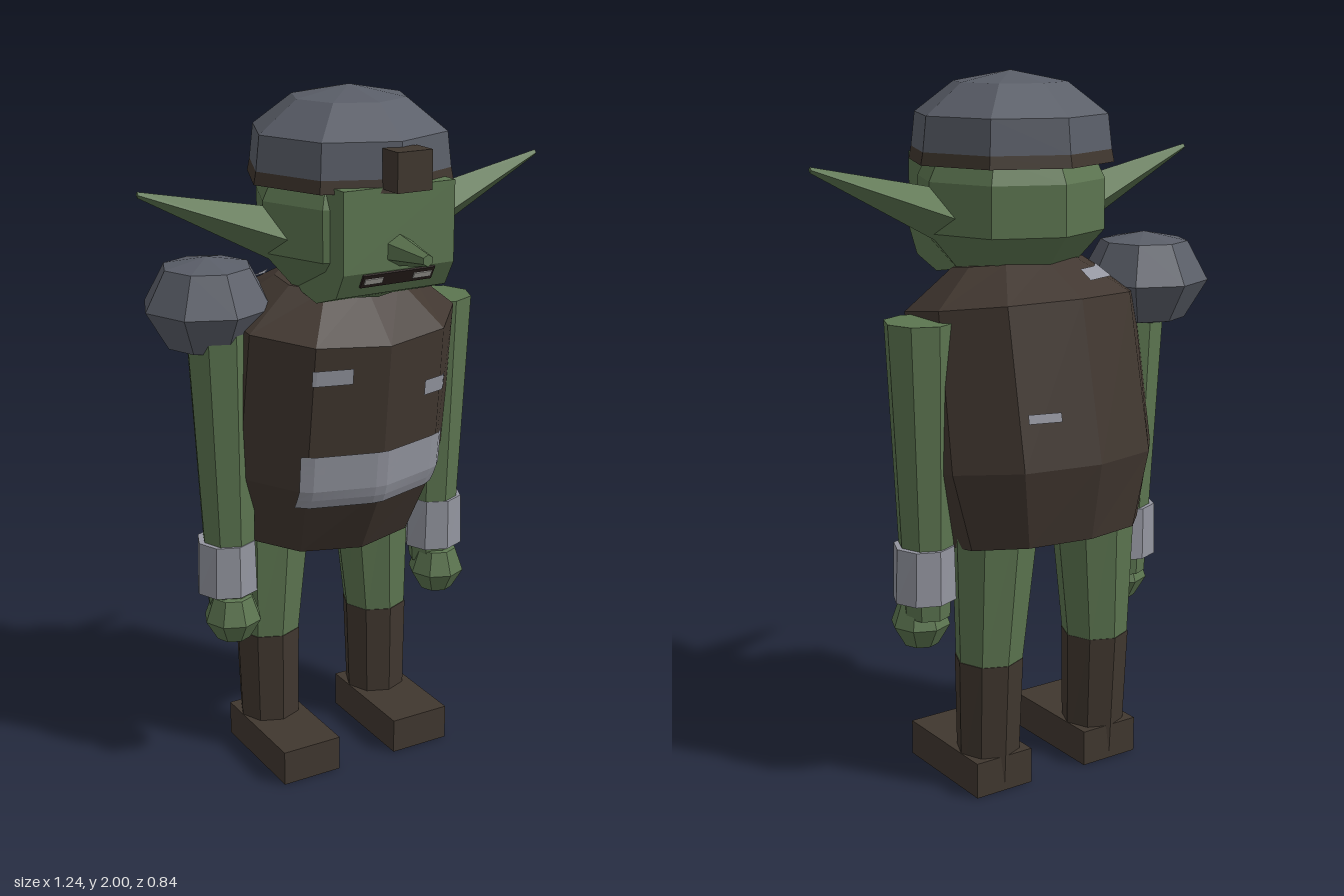
import * as THREE from 'three';

const mat = (name, color) => {
  const m = new THREE.MeshStandardMaterial({ color });
  m.name = name;
  return m;
};

// Facet any geometry
const flat = (geo) => {
  const g = geo.index ? geo.toNonIndexed() : geo;
  g.computeVertexNormals();
  return g;
};

// Capped loft through rings [x, y, z, rx, rz, tilt]; tilt lifts the back and drops the front
function loft(rings, sides) {
  const pos = [];
  const point = ([x, y, z, rx, rz, tilt = 0], i) => {
    const a = (i / sides) * Math.PI * 2;
    return [x + rx * Math.sin(a), y - tilt * Math.cos(a), z + rz * Math.cos(a)];
  };
  for (let i = 0; i < sides; i++) {
    for (let k = 0; k < rings.length - 1; k++) {
      const a = point(rings[k], i), b = point(rings[k], i + 1);
      const c = point(rings[k + 1], i + 1), d = point(rings[k + 1], i);
      pos.push(...a, ...b, ...c, ...a, ...c, ...d);
    }
    const lo = rings[0], hi = rings[rings.length - 1];
    pos.push(...lo.slice(0, 3), ...point(lo, i + 1), ...point(lo, i));
    pos.push(...hi.slice(0, 3), ...point(hi, i), ...point(hi, i + 1));
  }
  const g = new THREE.BufferGeometry();
  g.setAttribute('position', new THREE.Float32BufferAttribute(pos, 3));
  g.computeVertexNormals();
  return g;
}

const lathe = (profile, sides = 8) =>
  flat(new THREE.LatheGeometry(profile.map(([r, y]) => new THREE.Vector2(r, y)), sides));

export function createModel() {
  const group = new THREE.Group();
  const skin = mat('green skin', 0x5c7550);
  const leather = mat('dark leather', 0x40372f);
  const tunic = mat('brown tunic', 0x413730);
  const iron = mat('dark iron', 0x5a5e68);
  const metal = mat('pale metal', 0x9496a0);
  const dark = mat('mouth dark', 0x2b211e);
  const tooth = mat('tooth', 0xb4b2ac);

  const add = (name, geo, material, x = 0, y = 0, z = 0) => {
    const m = new THREE.Mesh(geo, material);
    m.name = name;
    m.position.set(x, y, z);
    group.add(m);
    return m;
  };
  const box = (w, h, d) => new THREE.BoxGeometry(w, h, d);

  // Hunched torso
  const torso = add('torso', loft([
    [0, 0.722, -0.14, 0.3, 0.235, 0.038],
    [0, 0.94, -0.105, 0.355, 0.31, 0.04],
    [0, 1.372, -0.035, 0.345, 0.285, 0.043],
    [0, 1.478, -0.018, 0.2, 0.14, 0.018],
  ], 10), tunic);

  // Plates and patches that hug the torso, projected along z from the front or the back
  const ray = new THREE.Raycaster();
  function patch(name, x0, x1, y0, y1, side) {
    const nx = 16, ny = 6;
    const g = new THREE.PlaneGeometry(x1 - x0, y1 - y0, nx, ny);
    if (side < 0) g.rotateY(Math.PI);
    g.translate((x0 + x1) / 2, (y0 + y1) / 2, 0);
    const p = g.attributes.position;
    for (let i = 0; i < p.count; i++) {
      ray.set(new THREE.Vector3(p.getX(i), p.getY(i), side * 2), new THREE.Vector3(0, 0, -side));
      const hit = ray.intersectObject(torso)[0];
      if (!hit) continue;
      const n = hit.face.normal;
      p.setXYZ(i, hit.point.x + n.x * 0.008, hit.point.y + n.y * 0.008, hit.point.z + n.z * 0.008);
    }
    add(name, flat(g), metal);
  }
  torso.updateMatrixWorld();
  torso.material.side = THREE.FrontSide;
  patch('bellyPlate', -0.22, 0.24, 0.86, 1.02, 1);
  patch('chestPatch', -0.205, -0.1, 1.23, 1.275, 1);
  patch('sidePatch', 0.135, 0.22, 1.155, 1.2, 1);
  patch('shoulderPatch', -0.18, -0.08, 1.44, 1.465, -1);
  patch('backPatch', 0.095, 0.185, 1.1, 1.125, -1);

  // Skull
  add('head', lathe([[0, 1.44], [0.16, 1.45], [0.265, 1.57], [0.265, 1.71], [0.23, 1.78], [0, 1.8]]),
    skin, 0, 0, 0.02);

  // Face block, side profile as (z, y)
  const profile = new THREE.Shape([
    [0, 1.77], [0.285, 1.77], [0.285, 1.55], [0.245, 1.48], [0.14, 1.445], [0, 1.47],
  ].map(([z, y]) => new THREE.Vector2(z, y)));
  const face = new THREE.ExtrudeGeometry(profile, { depth: 0.34, bevelEnabled: false });
  face.translate(0, 0, -0.17).rotateY(-Math.PI / 2);
  add('face', flat(face), skin);

  // Nose
  const nose = loft([[0, 0, 0, 0.045, 0.045], [0, 0.15, 0, 0.016, 0.016]], 6);
  nose.rotateX(Math.PI / 2);
  add('nose', nose, skin, 0, 1.6, 0.272);

  // Mouth on the slanted jaw, with teeth at the corners
  const mouth = new THREE.Group();
  mouth.name = 'mouth';
  mouth.position.set(0, 1.527, 0.274);
  mouth.rotation.x = 0.52;
  const lips = new THREE.Mesh(box(0.22, 0.042, 0.008), dark);
  lips.name = 'lips';
  mouth.add(lips);
  for (const s of [-1, 1]) {
    const t = new THREE.Mesh(box(0.055, 0.018, 0.008), tooth);
    t.name = 'tooth';
    t.position.set(s * 0.075, 0, 0.003);
    mouth.add(t);
  }
  group.add(mouth);

  // Helmet with leather rim and buckle
  add('helmetRim', lathe([[0, 1.755], [0.29, 1.755], [0.283, 1.79], [0, 1.79]]), leather, 0, 0, 0.02);
  add('helmetDome', lathe([[0.283, 1.79], [0.272, 1.885], [0.16, 1.97], [0, 2]]), iron, 0, 0, 0.02);
  add('buckle', box(0.105, 0.105, 0.075), leather, 0, 1.818, 0.318);

  // Single shoulder guard
  add('shoulderGuard', lathe([[0, 1.275], [0.12, 1.3], [0.185, 1.41], [0.125, 1.52], [0, 1.545]]),
    iron, -0.37, 0, -0.115);

  for (const s of [-1, 1]) {
    const side = s > 0 ? 'left' : 'right';

    // Ear, lofted upright then laid outward
    const ear = loft([
      [-s * 1.605, 0.2, 0.02, 0.08, 0.085],
      [-s * 1.762, 0.622, 0.02, 0.008, 0.008],
    ], 4);
    ear.rotateZ(-s * Math.PI / 2);
    add(side + 'Ear', ear, skin);

    // Arm, cuff and fist
    add(side + 'Arm', loft([
      [s * 0.345, 0.52, -0.07, 0.065, 0.07],
      [s * 0.345, 0.73, -0.07, 0.077, 0.08],
      [s * 0.355, 1.355, -0.072, 0.1, 0.102],
    ], 8), skin);
    add(side + 'Cuff', loft([
      [s * 0.352, 0.572, -0.072, 0.092, 0.087],
      [s * 0.352, 0.728, -0.072, 0.086, 0.087],
    ], 8), metal);
    add(side + 'Hand', lathe([[0, 0.415], [0.05, 0.43], [0.085, 0.49], [0.06, 0.56], [0, 0.575]]),
      skin, s * 0.35, 0, -0.045);

    // Leg, boot shaft and foot
    add(side + 'Leg', loft([
      [s * 0.187, 0.37, -0.145, 0.095, 0.097],
      [s * 0.165, 0.85, -0.15, 0.13, 0.125],
    ], 8), skin);
    add(side + 'BootShaft', loft([
      [s * 0.187, 0.02, -0.137, 0.09, 0.088],
      [s * 0.187, 0.385, -0.145, 0.098, 0.1],
    ], 8), leather);
    add(side + 'Foot', box(0.185, 0.105, 0.355), leather, s * 0.187, 0.0525, -0.047);
  }
  return group;
}
